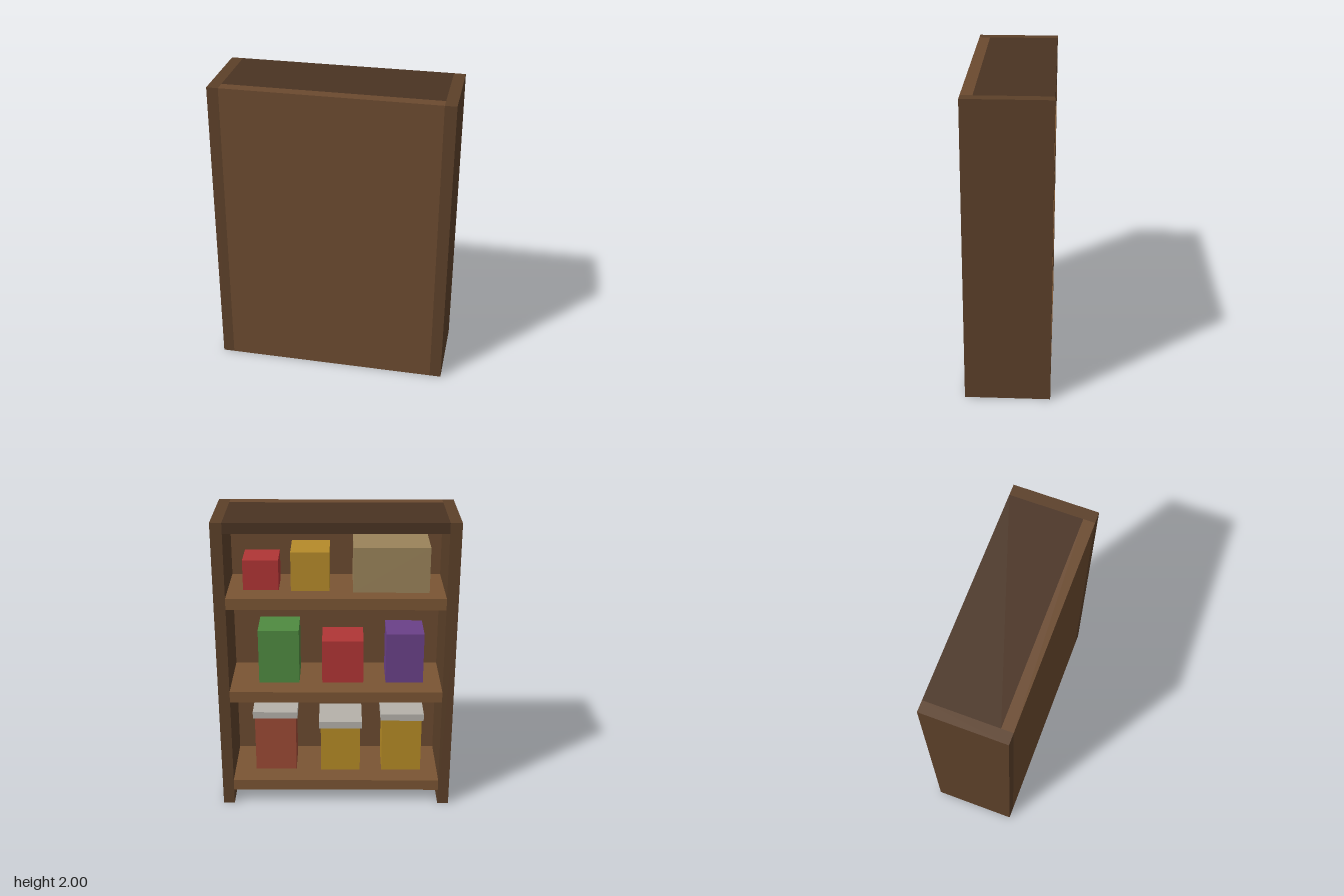
import * as THREE from 'three';

const mats = {};
const mat = (c) => (mats[c] ??= new THREE.MeshStandardMaterial({ color: c }));

// Box given by its limits along x, y and z
function slab(parent, name, color, [x0, x1], [y0, y1], [z0, z1]) {
  const mesh = new THREE.Mesh(new THREE.BoxGeometry(x1 - x0, y1 - y0, z1 - z0), mat(color));
  mesh.position.set((x0 + x1) / 2, (y0 + y1) / 2, (z0 + z1) / 2);
  mesh.name = name;
  parent.add(mesh);
  return mesh;
}

export function createModel() {
  const group = new THREE.Group();
  group.name = 'shelfUnit';
  const W = 0.775, IN = 0.7, D = 0.275, WALL = 0.2;

  // Carcass: closed towards +z, open towards -z
  slab(group, 'leftSide', 0x5c4029, [IN, W], [0, 2], [-D, D]);
  slab(group, 'rightSide', 0x5c4029, [-W, -IN], [0, 2], [-D, D]);
  slab(group, 'closedPanel', 0x6b4a2f, [-IN, IN], [0, 2], [WALL, D]);
  slab(group, 'topBoard', 0x4a3322, [-IN, IN], [1.93, 2], [-D, WALL]);

  // Shelves
  const shelfTops = [0.18, 0.85, 1.505];
  for (const y of shelfTops) slab(group, 'shelf', 0x7a5533, [-IN, IN], [y - 0.075, y], [-D, WALL]);

  // Goods: [name, color, shelf, centre x, width, height, depth]
  const goods = [
    ['redBox', 0xb03535, 2, 0.485, 0.23, 0.2, 0.23],
    ['yellowBox', 0xb58a2a, 2, 0.166, 0.25, 0.26, 0.26],
    ['tanCrate', 0x9a835a, 2, -0.355, 0.49, 0.3, 0.32],
    ['greenBox', 0x4f8a40, 1, 0.38, 0.27, 0.375, 0.25],
    ['redBox', 0xb03535, 1, -0.045, 0.275, 0.3, 0.25],
    ['purpleBox', 0x6a4088, 1, -0.457, 0.25, 0.35, 0.25],
    ['redCanister', 0x9c4a35, 0, 0.415, 0.28, 0.4, 0.24],
    ['yellowCanister', 0xb58a25, 0, -0.03, 0.27, 0.33, 0.26],
    ['yellowCanister', 0xb58a25, 0, -0.45, 0.27, 0.39, 0.26],
  ];
  for (const [name, color, shelf, x, w, h, d] of goods) {
    const y = shelfTops[shelf];
    slab(group, name, color, [x - w / 2, x + w / 2], [y, y + h], [-d / 2, d / 2]);
    // Overhanging lid on each canister
    if (shelf === 0) {
      const lw = w / 2 + 0.012, ld = d / 2 + 0.012;
      slab(group, 'canisterLid', 0xb5b1aa, [x - lw, x + lw], [y + h, y + h + 0.048], [-ld, ld]);
    }
  }
  return group;
}
